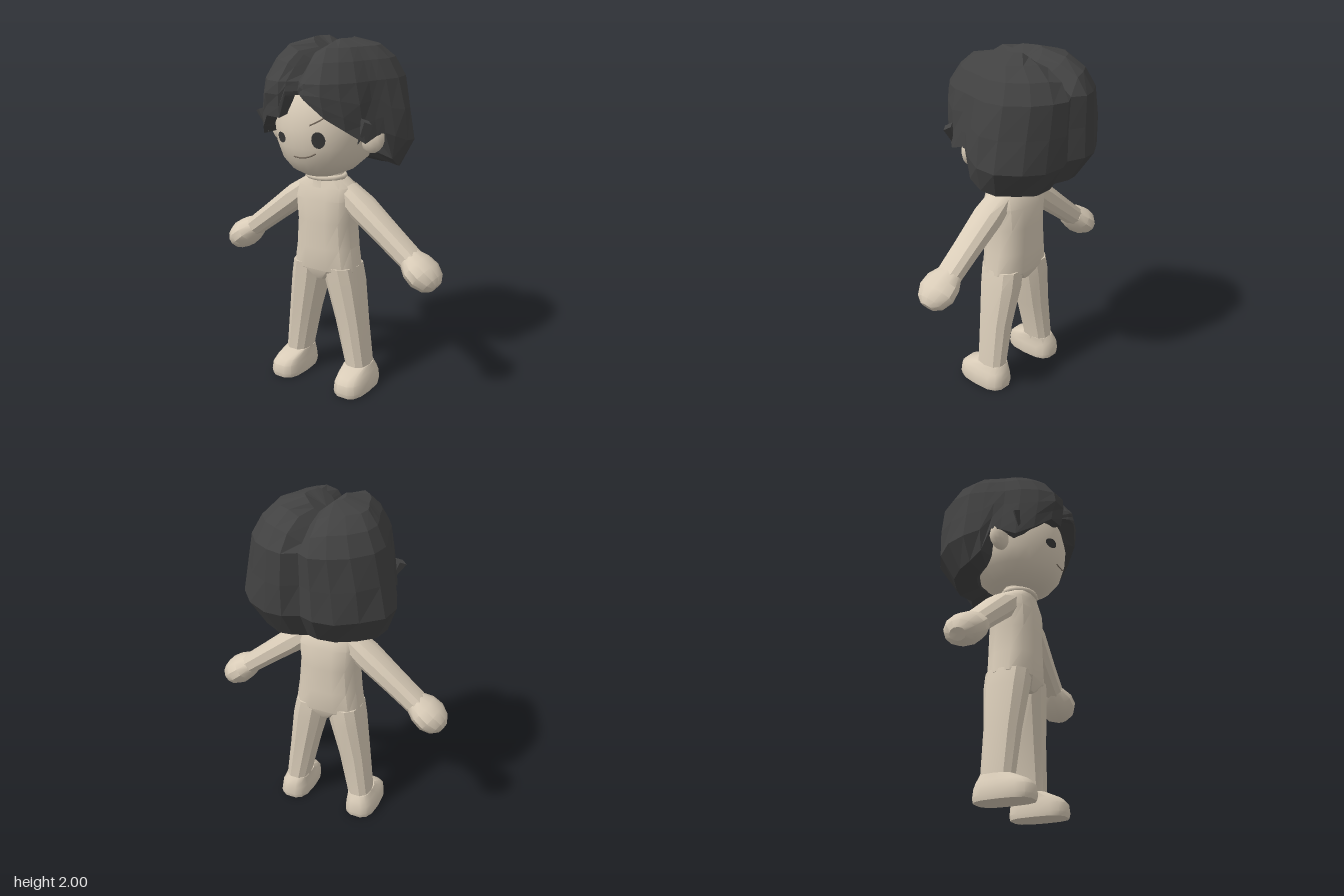
import * as THREE from 'three';
import { toCreasedNormals } from 'three/addons/utils/BufferGeometryUtils.js';

const mat = (name, color, extra = {}) => new THREE.MeshStandardMaterial({ name, color, ...extra });

// Closed skin over rows of points (bottom to top); first and last rows are collapsed to a point.
function skin(rows) {
  const n = rows[0].length, pos = rows.flat(2), idx = [];
  for (let i = 0; i < rows.length - 1; i++) {
    for (let j = 0; j < n; j++) {
      const a = i * n + j, b = i * n + (j + 1) % n, c = b + n, d = a + n;
      if (i > 0) idx.push(a, b, c);
      if (i < rows.length - 2) idx.push(a, c, d);
      else if (i === 0) idx.push(a, b, c);
    }
  }
  const g = new THREE.BufferGeometry();
  g.setAttribute('position', new THREE.Float32BufferAttribute(pos, 3));
  g.setIndex(idx);
  return g;
}

// Rounded cross-sections [y, cx, cz, rx, rz]; power above 2 gives squarer sections.
function loft(sections, sides, power = 2, crease = 0.65) {
  const sq = v => Math.sign(v) * Math.pow(Math.abs(v), 2 / power);
  const ring = ([y, cx, cz, rx, rz]) => Array.from({ length: sides }, (_, j) => {
    const a = ((j + 0.5) / sides) * Math.PI * 2;
    return [cx + rx * sq(Math.sin(a)), y, cz + rz * sq(Math.cos(a))];
  });
  const point = s => ring([s[0], s[1], s[2], 0, 0]);
  const rows = [point(sections[0]), ...sections.map(ring), point(sections.at(-1))];
  return toCreasedNormals(skin(rows), crease);
}

// Piecewise linear lookup in rows sorted by descending first value.
function lookup(table, y, k = 1) {
  if (y >= table[0][0]) return table[0][k];
  for (let i = 1; i < table.length; i++) {
    const [p, q] = [table[i - 1], table[i]];
    if (y >= q[0]) return THREE.MathUtils.lerp(q[k], p[k], (y - q[0]) / (p[0] - q[0]));
  }
  return table.at(-1)[k];
}

const HEAD = [
  [1.275, 0, 0.12, 0.09, 0.08], [1.31, 0, 0.08, 0.175, 0.18], [1.37, 0, 0.06, 0.235, 0.245],
  [1.45, 0, 0.05, 0.268, 0.28], [1.55, 0, 0.05, 0.28, 0.29], [1.65, 0, 0.04, 0.275, 0.28],
  [1.75, 0, 0.02, 0.24, 0.26], [1.84, 0, 0, 0.14, 0.15],
];
const HEAD_DOWN = [...HEAD].reverse();
// Front surface of the face at x, y
function faceZ(x, y) {
  const [cz, rx, rz] = [2, 3, 4].map(k => lookup(HEAD_DOWN, y, k));
  return cz + rz * Math.sqrt(Math.max(0, 1 - (x / rx) ** 2));
}

// Half outline of the hair from front to back: [x, z, hem height on +x, hem height on -x]
const HAIR = [
  [0, 0.31, 1.73, 1.73], [0.055, 0.36, 1.74, 1.73], [0.095, 0.38, 1.72, 1.61], [0.2, 0.36, 1.63, 1.61],
  [0.28, 0.29, 1.56, 1.53], [0.34, 0.2, 1.49, 1.47], [0.365, 0.11, 1.52, 1.51], [0.385, 0.055, 1.53, 1.52],
  [0.41, 0.0, 1.38, 1.38], [0.44, -0.09, 1.33, 1.33], [0.42, -0.2, 1.31, 1.31], [0.32, -0.31, 1.30, 1.31],
  [0.2, -0.37, 1.285, 1.30], [0.09, -0.395, 1.30, 1.31], [0, -0.35, 1.30, 1.30],
];
const X_SCALE = [[2, 0.25], [1.965, 0.56], [1.9, 0.7], [1.8, 0.82], [1.66, 0.9], [1.42, 1], [1.3, 0.82]];
const FRONT_SCALE = [[2, 0.25], [1.965, 0.62], [1.9, 0.82], [1.8, 1], [1.75, 1.03], [1.6, 0.96], [1.3, 0.9]];
const BACK_SCALE = [[2, 0.3], [1.965, 0.6], [1.93, 0.82], [1.8, 1], [1.45, 0.97], [1.3, 0.72]];

function hairGeometry() {
  const cols = [
    ...HAIR.map(([x, z, hem]) => [x, z, hem]),
    ...HAIR.slice(1, -1).reverse().map(([x, z, , hem]) => [-x, z, hem]),
  ];
  const place = ([x, z], y, k = 1) => {
    const px = x * lookup(X_SCALE, y) * k;
    const groove = y > 1.85 ? 0.065 * Math.max(0, 1 - Math.abs(px) / 0.08) : 0;
    return [px, y - groove, z * lookup(z > 0 ? FRONT_SCALE : BACK_SCALE, y) * k];
  };
  const rows = [cols.map(() => [0, 1.55, 0])];
  // tucked underside
  rows.push(cols.map(c => { const p = place(c, c[2], 0.6); return [p[0], p[1] + 0.04, p[2]]; }));
  // hem up to the brow line, gently uneven
  [1, 0.7, 0.35].forEach((t, i) => rows.push(cols.map((c, j) =>
    place(c, THREE.MathUtils.lerp(1.8, c[2], t), i ? 1 + 0.012 * (((i * 3 + j * 5) % 4) / 1.5 - 1) : 1))));
  [1.8, 1.9, 1.965, 2].forEach(y => rows.push(cols.map(c => place(c, y))));
  rows.push(cols.map(() => [0, 1.935, -0.02]));
  return skin(rows);
}

export function createModel() {
  const model = new THREE.Group();
  const skinMat = mat('skin', 0xd9ccb8);
  const hairMat = mat('hair', 0x424242, { flatShading: true });
  const eyeMat = mat('eye', 0x383838);
  const lineMat = mat('face line', 0x75695c);
  const add = (name, geometry, material, parent = model) => {
    const m = new THREE.Mesh(geometry, material);
    m.name = name;
    parent.add(m);
    return m;
  };

  // Torso and neck
  add('torso', loft([
    [0.655, 0, 0.04, 0.05, 0.1], [0.72, 0, 0.04, 0.205, 0.135], [0.85, 0, 0.04, 0.185, 0.138],
    [1.0, 0, 0.04, 0.172, 0.138], [1.13, 0, 0.04, 0.185, 0.138], [1.2, 0, 0.045, 0.17, 0.115],
    [1.245, 0, 0.055, 0.115, 0.095],
  ], 12, 2.6), skinMat);
  add('neck', loft([[1.2, 0, 0.06, 0.12, 0.1], [1.25, 0, 0.06, 0.105, 0.09], [1.33, 0, 0.06, 0.1, 0.09]], 14), skinMat);
  const collar = add('neckRim', new THREE.TorusGeometry(0.108, 0.015, 6, 18), skinMat);
  collar.rotation.x = Math.PI / 2;
  collar.scale.y = 0.88;
  collar.position.set(0, 1.255, 0.06);

  // Head and hair
  add('head', loft(HEAD, 24, 2, 0.9), skinMat);
  add('hair', hairGeometry(), hairMat);

  for (const s of [-1, 1]) {
    const side = s > 0 ? 'left' : 'right';

    const ear = add(side + 'Ear', new THREE.SphereGeometry(1, 12, 8), skinMat);
    ear.scale.set(0.065, 0.08, 0.042);
    ear.position.set(s * 0.305, 1.495, 0.075);
    ear.rotation.set(0, s * 0.35, s * -0.15);

    // small lock flicking out at the temple
    const wisp = add(side + 'Wisp', new THREE.ConeGeometry(0.035, 0.14, 4), hairMat);
    wisp.position.set(s * 0.315, 1.545, 0.2);
    wisp.rotation.z = s * 2.75;
    wisp.scale.z = 0.6;

    // Arm hangs along its own -y, hand at the end
    const arm = new THREE.Group();
    arm.name = side + 'Arm';
    arm.position.set(s * 0.16, 1.14, 0.035);
    arm.rotation.z = s * 0.91;
    model.add(arm);
    add('sleevelessArm', loft([
      [-0.52, 0, 0, 0.06, 0.075], [-0.3, 0, 0, 0.066, 0.08], [-0.08, 0, 0, 0.074, 0.09], [0.05, 0, 0, 0.06, 0.08],
    ], 10, 2.4), skinMat, arm);
    add('hand', loft([
      [-0.675, 0, 0.005, 0.035, 0.045], [-0.645, 0, 0.005, 0.068, 0.088], [-0.585, 0, 0.005, 0.086, 0.118],
      [-0.52, 0, 0.005, 0.08, 0.112], [-0.46, 0, 0, 0.06, 0.078],
    ], 12), skinMat, arm);

    // Leg and foot
    add(side + 'Leg', loft([
      [0.08, s * 0.215, 0.03, 0.07, 0.09], [0.15, s * 0.208, 0.03, 0.072, 0.09], [0.4, s * 0.165, 0.035, 0.086, 0.1],
      [0.64, s * 0.118, 0.035, 0.102, 0.125], [0.74, s * 0.1, 0.04, 0.1, 0.128],
    ], 10, 2.5), skinMat);
    add(side + 'Foot', loft([
      [0, s * 0.223, 0.075, 0.092, 0.162], [0.025, s * 0.223, 0.075, 0.096, 0.168], [0.075, s * 0.222, 0.075, 0.09, 0.163],
      [0.105, s * 0.218, 0.065, 0.08, 0.145], [0.14, s * 0.21, 0.035, 0.072, 0.095],
    ], 14, 2.9), skinMat);
  }

  // Eyes wrapped onto the face
  for (const [name, x, y, w, h] of [['leftEye', 0.12, 1.505, 0.033, 0.045], ['rightEye', -0.112, 1.497, 0.036, 0.029]]) {
    const g = new THREE.CircleGeometry(1, 14), p = g.attributes.position;
    for (let i = 0; i < p.count; i++) {
      const px = x + p.getX(i) * w, py = y + p.getY(i) * h;
      p.setXYZ(i, px, py, faceZ(px, py) + 0.006);
    }
    g.computeVertexNormals();
    add(name, g, eyeMat);
  }

  // Mouth and eyebrow strokes
  const stroke = (name, pts) => add(name, new THREE.TubeGeometry(
    new THREE.CatmullRomCurve3(pts.map(([x, y]) => new THREE.Vector3(x, y, faceZ(x, y)))), 12, 0.004, 5), lineMat);
  stroke('mouth', [[-0.035, 1.402], [0.01, 1.4], [0.06, 1.41], [0.1, 1.43]]);
  stroke('eyebrow', [[0.075, 1.58], [0.12, 1.605], [0.16, 1.635]]);

  return model;
}
